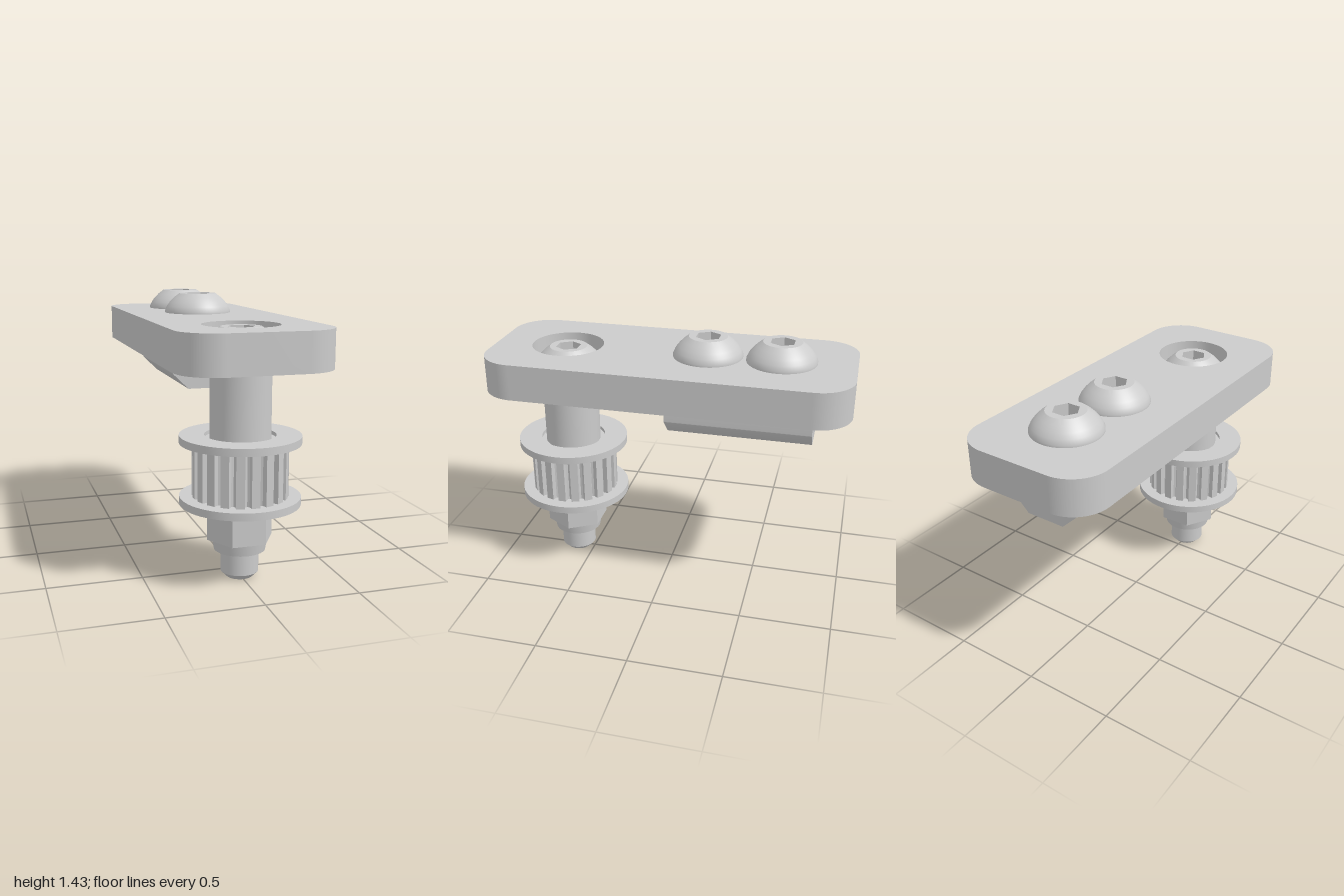
import * as THREE from 'three';
import { toCreasedNormals } from 'three/addons/utils/BufferGeometryUtils.js';

const material = new THREE.MeshStandardMaterial({ color: 0xcccccc });
const AXLE_Z = 0.6;

function add(parent, name, geometry, x = 0, y = 0, z = 0) {
  const mesh = new THREE.Mesh(toCreasedNormals(geometry, 0.5), material);
  mesh.name = name;
  mesh.position.set(x, y, z);
  parent.add(mesh);
  return mesh;
}

// Solid of revolution from [radius, height] pairs, listed bottom to top on the outside
function lathe(points, segments = 64) {
  return new THREE.LatheGeometry(points.map(([r, y]) => new THREE.Vector2(r, y)), segments);
}

// Extrudes a plan shape (x, -z) upwards from y = 0
function extrudeUp(shape, height) {
  const geometry = new THREE.ExtrudeGeometry(shape, { depth: height, bevelEnabled: false, curveSegments: 32 });
  return geometry.rotateX(-Math.PI / 2);
}

function circle(PathType, x, z, radius) {
  return new PathType().absarc(x, -z, radius, 0, Math.PI * 2, false);
}

function hexagon(PathType, radius) {
  const corners = [];
  for (let i = 0; i < 6; i++) {
    const a = (i * Math.PI) / 3;
    corners.push(new THREE.Vector2(radius * Math.cos(a), radius * Math.sin(a)));
  }
  return new PathType(corners);
}

function rectangle(x0, y0, x1, y1) {
  return new THREE.Shape([[x0, y0], [x1, y0], [x1, y1], [x0, y1]].map(([x, y]) => new THREE.Vector2(x, y)));
}

// Button head screw: the origin is the underside of the head
function createScrew(name, length, chamfer) {
  const screw = new THREE.Group();
  screw.name = name;
  add(screw, 'screwHead', lathe([
    [0.1, 0], [0.19, 0], [0.19, 0.012], [0.178, 0.038], [0.16, 0.062], [0.135, 0.087], [0.105, 0.11], [0.1, 0.11],
  ]));
  const crown = circle(THREE.Shape, 0, 0, 0.1);
  crown.holes.push(hexagon(THREE.Path, 0.072));
  add(screw, 'hexSocket', extrudeUp(crown, 0.065), 0, 0.045, 0);
  add(screw, 'socketFloor', new THREE.CylinderGeometry(0.095, 0.095, 0.045, 32), 0, 0.0225, 0);
  add(screw, 'screwShank', lathe([
    [0, -length], [0.1 - chamfer, -length], [0.1, -length + chamfer], [0.1, 0],
  ], 48));
  return screw;
}

// Plate with rounded corners and a counterbored pocket
function createPlate() {
  const plate = new THREE.Group();
  plate.name = 'plate';
  const w = 0.4, l = 1, r = 0.2;
  const outline = new THREE.Shape();
  outline.moveTo(w, -l + r).lineTo(w, l - r);
  outline.absarc(w - r, l - r, r, 0, Math.PI / 2, false);
  outline.absarc(-w + r, l - r, r, Math.PI / 2, Math.PI, false);
  outline.absarc(-w + r, -l + r, r, Math.PI, Math.PI * 1.5, false);
  outline.absarc(w - r, -l + r, r, Math.PI * 1.5, Math.PI * 2, false);
  outline.holes.push(circle(THREE.Path, 0, AXLE_Z, 0.2));
  add(plate, 'plateBody', extrudeUp(outline, 0.2), 0, 1.12, 0);
  add(plate, 'pocketFloor', new THREE.CylinderGeometry(0.2, 0.2, 0.08, 64), 0, 1.16, AXLE_Z);
  return plate;
}

// Sliding slot nut: a drilled core with a bevelled flank on each side
function createSlotNut() {
  const nut = new THREE.Group();
  nut.name = 'slotNut';
  const core = rectangle(-0.11, 0, 0.11, 0.8);
  for (const z of [-0.2, -0.6]) core.holes.push(circle(THREE.Path, 0, z, 0.1));
  add(nut, 'nutCore', extrudeUp(core, 0.15), 0, 0.9, 0);
  for (const side of [1, -1]) {
    const flank = new THREE.Shape();
    flank.moveTo(side * 0.11, 0.9).lineTo(side * 0.197, 0.985);
    flank.quadraticCurveTo(side * 0.2, 0.988, side * 0.2, 0.993);
    flank.lineTo(side * 0.2, 1.03);
    flank.quadraticCurveTo(side * 0.2, 1.05, side * 0.18, 1.05);
    flank.lineTo(side * 0.11, 1.05);
    add(nut, 'nutFlank', new THREE.ExtrudeGeometry(flank, { depth: 0.8, bevelEnabled: false }), 0, 0, -0.8);
  }
  return nut;
}

// Toothed belt pulley with two flanges and bearings set just inside the bore
function createPulley() {
  const pulley = new THREE.Group();
  pulley.name = 'pulley';
  const teeth = 20, points = [];
  for (let i = 0; i < teeth; i++) {
    for (const [t, radius] of [[-0.28, 0.25], [0.28, 0.25], [0.34, 0.222], [0.5, 0.215], [0.66, 0.222]]) {
      const a = ((i + t) / teeth) * Math.PI * 2;
      points.push(new THREE.Vector2(radius * Math.cos(a), radius * Math.sin(a)));
    }
  }
  const gear = new THREE.Shape(points);
  gear.holes.push(circle(THREE.Path, 0, 0, 0.185));
  add(pulley, 'toothedRim', extrudeUp(gear, 0.28), 0, 0.44, 0);
  for (const y of [0.4, 0.72]) {
    add(pulley, 'flange', lathe([[0.185, 0], [0.315, 0], [0.315, 0.04], [0.185, 0.04], [0.185, 0]]), 0, y, 0);
  }
  add(pulley, 'bearing', new THREE.CylinderGeometry(0.185, 0.185, 0.32, 64), 0, 0.58, 0);
  return pulley;
}

export function createModel() {
  const model = new THREE.Group();
  model.name = 'idlerPulleyBracket';
  model.add(createPlate(), createSlotNut());

  // Two short mounting screws into the slot nut
  for (const z of [-0.2, -0.6]) {
    const screw = createScrew('mountingScrew', 0.37, 0);
    screw.position.set(0, 1.32, z);
    model.add(screw);
  }

  // Axle stack hanging under the plate
  const axle = new THREE.Group();
  axle.name = 'axleAssembly';
  axle.position.z = AXLE_Z;
  const axleScrew = createScrew('axleScrew', 1.2, 0.03);
  axleScrew.position.y = 1.2;
  axle.add(axleScrew, createPulley());
  add(axle, 'spacer', new THREE.CylinderGeometry(0.158, 0.158, 0.38, 64), 0, 0.93, 0);
  add(axle, 'washer', new THREE.CylinderGeometry(0.15, 0.15, 0.06, 64), 0, 0.395, 0);
  add(axle, 'lockNut', extrudeUp(hexagon(THREE.Shape, 0.178), 0.16), 0, 0.21, 0);
  add(axle, 'lockNutCollar', lathe([[0.1, 0.15], [0.135, 0.15], [0.145, 0.21]]));
  model.add(axle);
  return model;
}
